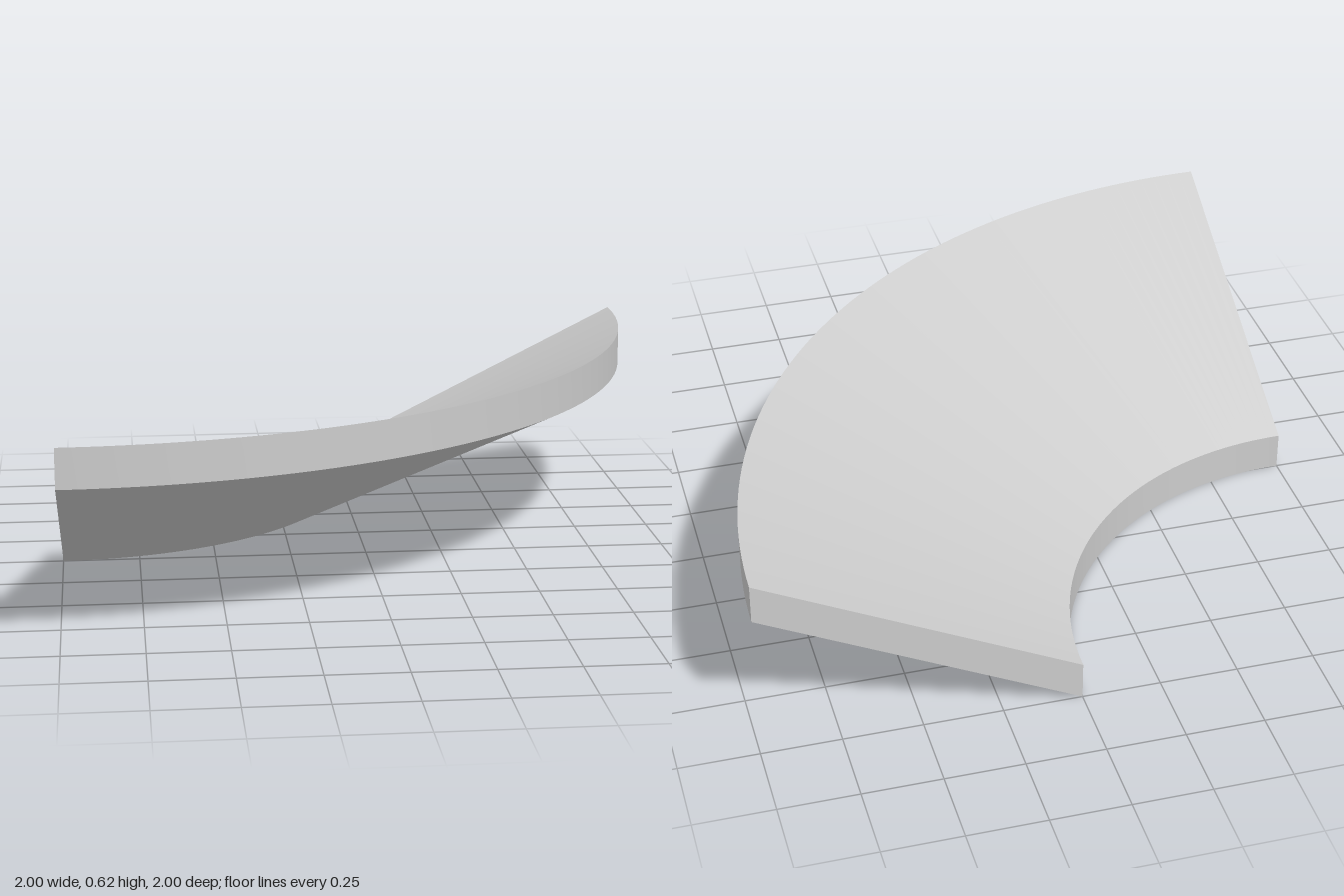
import * as THREE from 'three';
import { toCreasedNormals } from 'three/addons/utils/BufferGeometryUtils.js';

export function createModel() {
  const group = new THREE.Group();
  group.name = 'bankedCurve';
  const material = new THREE.MeshStandardMaterial({ color: 0xcccccc });
  const capMaterial = new THREE.MeshStandardMaterial({ color: 0xcccccc, side: THREE.DoubleSide });

  // Sloped slab cross-section: x is the radius, y the height
  const inner = 1, outer = 2, rise = 0.5, thickness = 0.125;
  const section = [
    new THREE.Vector2(inner, 0),
    new THREE.Vector2(outer, rise),
    new THREE.Vector2(outer, rise + thickness),
    new THREE.Vector2(inner, thickness),
  ];

  const add = (name, geometry, mat) => {
    geometry.translate(-1, 0, -1); // centre of the bend
    const mesh = new THREE.Mesh(geometry, mat);
    mesh.name = name;
    group.add(mesh);
  };

  // Quarter-turn slab, smooth around the bend with sharp rims
  const slab = new THREE.LatheGeometry([...section, section[0].clone()], 64, 0, Math.PI / 2);
  add('curvedSlab', toCreasedNormals(slab, 0.5), material);

  // Flat ends that close the slab
  const shape = new THREE.Shape(section);
  add('backEnd', new THREE.ShapeGeometry(shape), capMaterial);
  add('rightEnd', new THREE.ShapeGeometry(shape).rotateY(-Math.PI / 2), capMaterial);

  return group;
}
